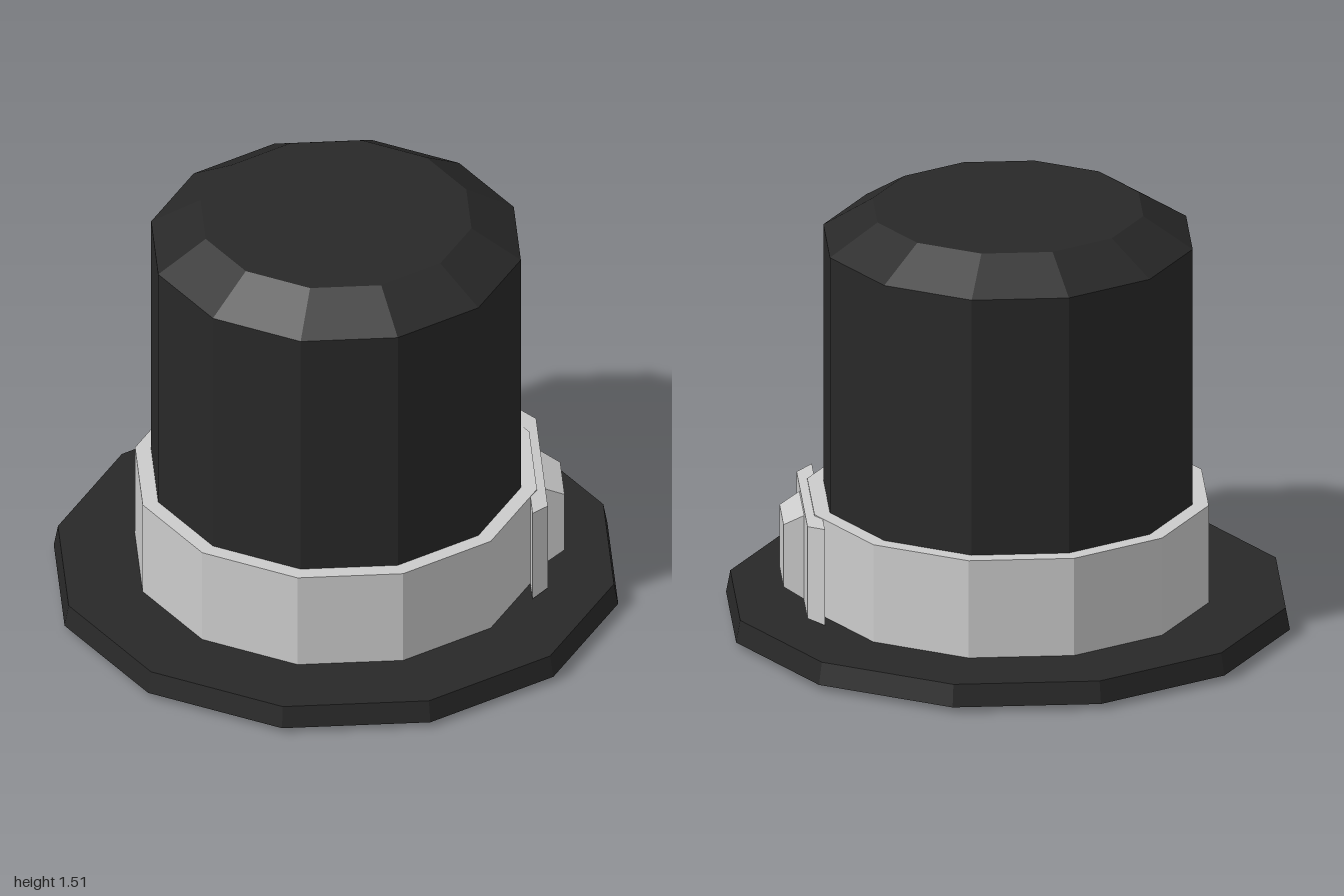
import * as THREE from 'three';

const SIDES = 12;
const black = new THREE.MeshStandardMaterial({ color: 0x282828, flatShading: true });
const grey = new THREE.MeshStandardMaterial({ color: 0xcccccc, flatShading: true });

// Twelve-sided turned part from a list of [radius, height]
function turned(name, profile, material) {
  const points = profile.map(([r, y]) => new THREE.Vector2(r, y));
  const mesh = new THREE.Mesh(new THREE.LatheGeometry(points, SIDES), material);
  mesh.name = name;
  return mesh;
}

// Block whose front face (+z) is narrowed to frontW x frontH
function bevelledBlock(name, w, h, depth, frontW, frontH) {
  const geometry = new THREE.BoxGeometry(w, h, depth);
  const p = geometry.attributes.position;
  for (let i = 0; i < p.count; i++) {
    if (p.getZ(i) > 0) {
      p.setX(i, p.getX(i) * frontW / w);
      p.setY(i, p.getY(i) * frontH / h);
    }
  }
  geometry.computeVertexNormals();
  const mesh = new THREE.Mesh(geometry, grey);
  mesh.name = name;
  return mesh;
}

export function createModel() {
  const hat = new THREE.Group();
  hat.name = 'topHat';

  // Brim with a bevelled opening underneath
  hat.add(turned('brim', [
    [0.6, 0.1], [0.66, 0], [0.71, 0], [1, 0.02], [0.985, 0.1], [0.6, 0.1],
  ], black));

  // Hollow crown: inside surface first, then the outside
  hat.add(turned('crown', [
    [0, 1.46], [0.45, 1.46], [0.6, 1.37], [0.6, 0.1],
    [0.655, 0.1], [0.655, 1.405], [0.48, 1.515], [0, 1.515],
  ], black));

  // Ribbon around the base of the crown
  hat.add(turned('band', [
    [0.64, 0.1], [0.712, 0.1], [0.712, 0.46], [0.64, 0.46],
  ], grey));

  // Buckle on the band facet just behind the left side
  const buckle = new THREE.Group();
  buckle.name = 'buckle';
  buckle.rotation.y = THREE.MathUtils.degToRad(105);
  const plate = bevelledBlock('bucklePlate', 0.67, 0.355, 0.057, 0.56, 0.34);
  plate.position.set(0, 0.281, 0.69);
  const stud = bevelledBlock('buckleStud', 0.25, 0.315, 0.075, 0.206, 0.23);
  stud.position.set(-0.014, 0.275, 0.7515);
  buckle.add(plate, stud);
  hat.add(buckle);

  return hat;
}
